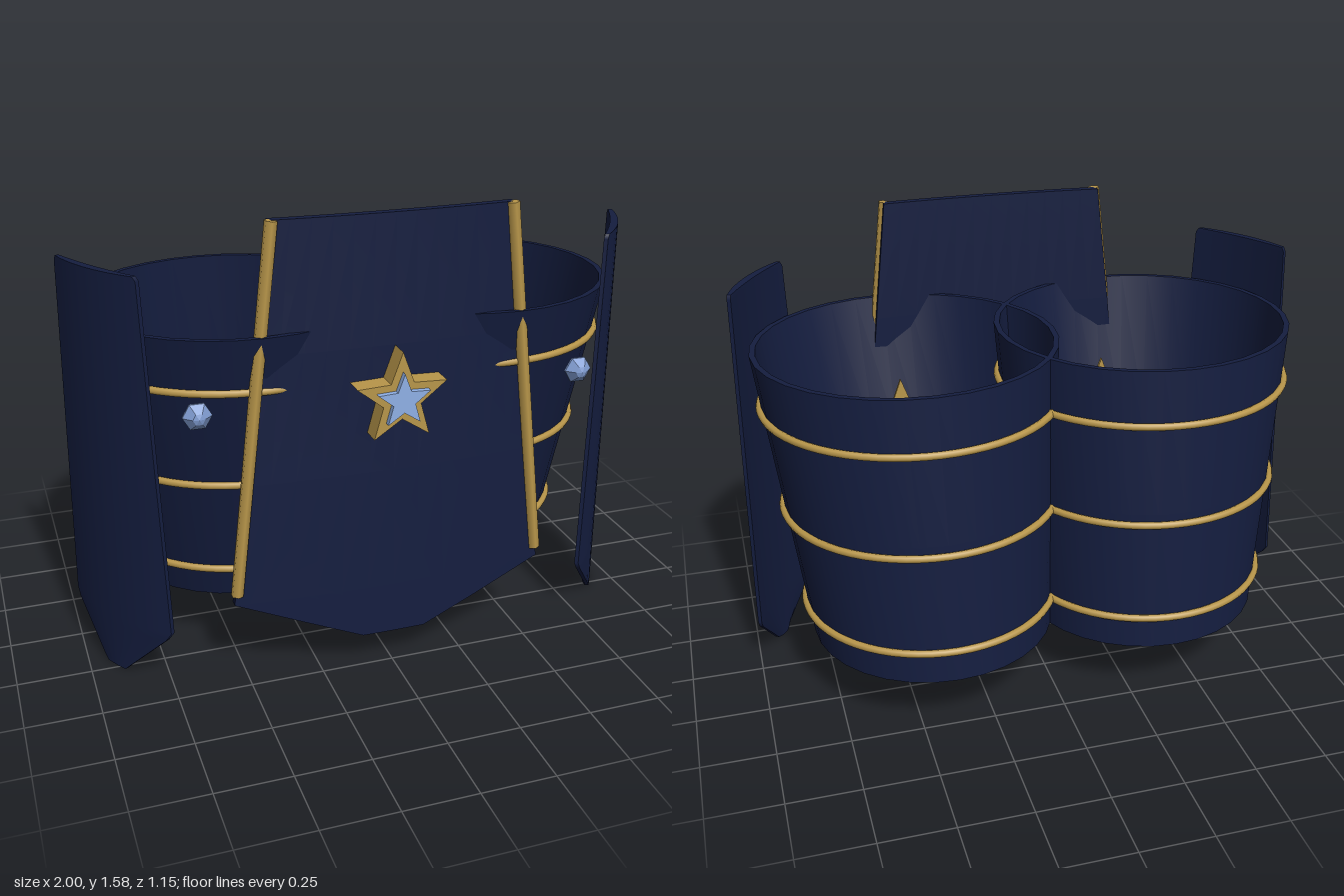
import * as THREE from 'three';
import { toCreasedNormals } from 'three/addons/utils/BufferGeometryUtils.js';

const navy = new THREE.MeshStandardMaterial({ color: 0x141d3f });
const gold = new THREE.MeshStandardMaterial({ color: 0xb8964a });
const blue = new THREE.MeshStandardMaterial({ color: 0x8fb0e6 });
const gem = new THREE.MeshStandardMaterial({ color: 0x7f9bd0, flatShading: true });
const grey = new THREE.MeshStandardMaterial({ color: 0xcccccc });

const BOTTOM = 0.22, TOP = 1.22;

// Point on the leg sleeve at a height and angle, pushed outward by an offset
function sleevePoint(side, y, angle, offset) {
  const t = (y - BOTTOM) / (TOP - BOTTOM);
  const mix = (a, b) => a + (b - a) * t;
  return new THREE.Vector3(
    side * mix(0.385, 0.42) + Math.cos(angle) * (mix(0.425, 0.52) + offset),
    y,
    mix(-0.14, 0) + Math.sin(angle) * (mix(0.42, 0.5) + offset)
  );
}

// Open leg sleeve with a thin wall, narrowing and leaning back towards the bottom
function sleeveGeometry(side) {
  const wall = 0.02;
  const profile = [[1, BOTTOM], [1, 0.72], [1, TOP], [1 - wall, TOP], [1 - wall, 0.72], [1 - wall, BOTTOM], [1, BOTTOM]]
    .map(([r, y]) => new THREE.Vector2(r, y));
  const geo = new THREE.LatheGeometry(profile, 32);
  const pos = geo.attributes.position;
  for (let i = 0; i < pos.count; i++) {
    const x = pos.getX(i), z = pos.getZ(i);
    const p = sleevePoint(side, pos.getY(i), Math.atan2(z, x), Math.hypot(x, z) - 1);
    pos.setXYZ(i, p.x, p.y, p.z);
  }
  return toCreasedNormals(geo, 0.7);
}

// Curved plate: rows of [height, half width], bowed across its width
function plateGeometry(rows, thickness, bow, baseZ, edgeThin) {
  const last = rows.length - 1;
  const geo = new THREE.BoxGeometry(2, 1, 1, 12, last, 1);
  const pos = geo.attributes.position;
  for (let i = 0; i < pos.count; i++) {
    const [y, half] = rows[Math.round((0.5 - pos.getY(i)) * last)];
    const u = pos.getX(i), x = u * half;
    const depth = pos.getZ(i) < 0 ? thickness * (1 - edgeThin * u * u) : 0;
    pos.setXYZ(i, x, y, baseZ(y) - bow * x * x - depth);
  }
  geo.computeVertexNormals();
  return geo;
}

// Five-pointed star with its back face at z = 0
function starGeometry(radius, depth) {
  const points = [];
  for (let i = 0; i < 10; i++) {
    const r = i % 2 ? radius * 0.42 : radius;
    const a = Math.PI / 2 + i * Math.PI / 5;
    points.push(new THREE.Vector2(Math.cos(a) * r, Math.sin(a) * r));
  }
  return new THREE.ExtrudeGeometry(new THREE.Shape(points), { depth, bevelEnabled: false });
}

export function createModel() {
  const model = new THREE.Group();
  const add = (name, geo, mat, x = 0, y = 0, z = 0) => {
    const mesh = new THREE.Mesh(geo, mat);
    mesh.name = name;
    mesh.position.set(x, y, z);
    model.add(mesh);
    return mesh;
  };

  // Front panel with a pointed lower edge
  const frontRows = [[1.575, 0.4], [1.15, 0.448], [0.72, 0.495], [0.3, 0.545], [0.2, 0.3], [0.12, 0.11]];
  add('frontPanel', plateGeometry(frontRows, 0.03, 0.1, y => 0.515 - 0.03 * Math.min(1, y), 0), navy);

  // Layered star on the front panel
  add('starBase', starGeometry(0.158, 0.08), gold, 0, 0.99, 0.478);
  add('starInlay', starGeometry(0.092, 0.025), blue, 0, 0.99, 0.553);

  const sideRows = [[1.415, 0.185], [1.4, 0.195], [0.8, 0.22], [0.2, 0.245], [0.17, 0.225], [0.015, 0.06], [0, 0.045]];
  const sideGeo = plateGeometry(sideRows, 0.028, 0.75, () => 0.045, 0.5);

  // Cut gem, points facing front and back
  const gemProfile = [[0, -0.036], [0.047, -0.004], [0.047, 0.004], [0.02, 0.03], [0, 0.036]]
    .map(([r, y]) => new THREE.Vector2(r, y));
  const gemGeo = new THREE.LatheGeometry(gemProfile, 6, Math.PI / 6).rotateX(Math.PI / 2);

  for (const side of [-1, 1]) {
    const label = side > 0 ? 'left' : 'right';
    add(label + 'LegSleeve', sleeveGeometry(side), navy);

    // Gold bands around the sleeve
    for (const y of [0.335, 0.685, 1.035]) {
      const loop = [];
      for (let i = 0; i < 32; i++) loop.push(sleevePoint(side, y, i * Math.PI / 16, 0.006));
      add(label + 'Band', new THREE.TubeGeometry(new THREE.CatmullRomCurve3(loop, true), 64, 0.013, 8, true), gold);
    }

    // Hip plate
    add(label + 'HipPlate', sideGeo, navy, side * 0.875, 0, 0.212).rotation.y = side * 1.035;

    // Gold trim along the front panel edge
    const path = new THREE.LineCurve3(new THREE.Vector3(side * 0.393, 1.575, 0.472), new THREE.Vector3(side * 0.535, 0.335, 0.474));
    add(label + 'Trim', new THREE.CylinderGeometry(0.021, 0.021, path.getLength(), 6), gold, ...path.getPoint(0.5).toArray())
      .quaternion.setFromUnitVectors(new THREE.Vector3(0, 1, 0), path.getTangent(0).negate());

    add(label + 'Gem', gemGeo, gem, side * 0.645, 0.995, 0.5);

    // Small stars inside the sleeve front
    add(label + 'InnerStarBase', starGeometry(0.15, 0.012), gold, side * 0.39, 0.8, 0.315);
    add(label + 'InnerStarInlay', starGeometry(0.1, 0.012), grey, side * 0.39, 0.8, 0.325);
  }
  return model;
}
